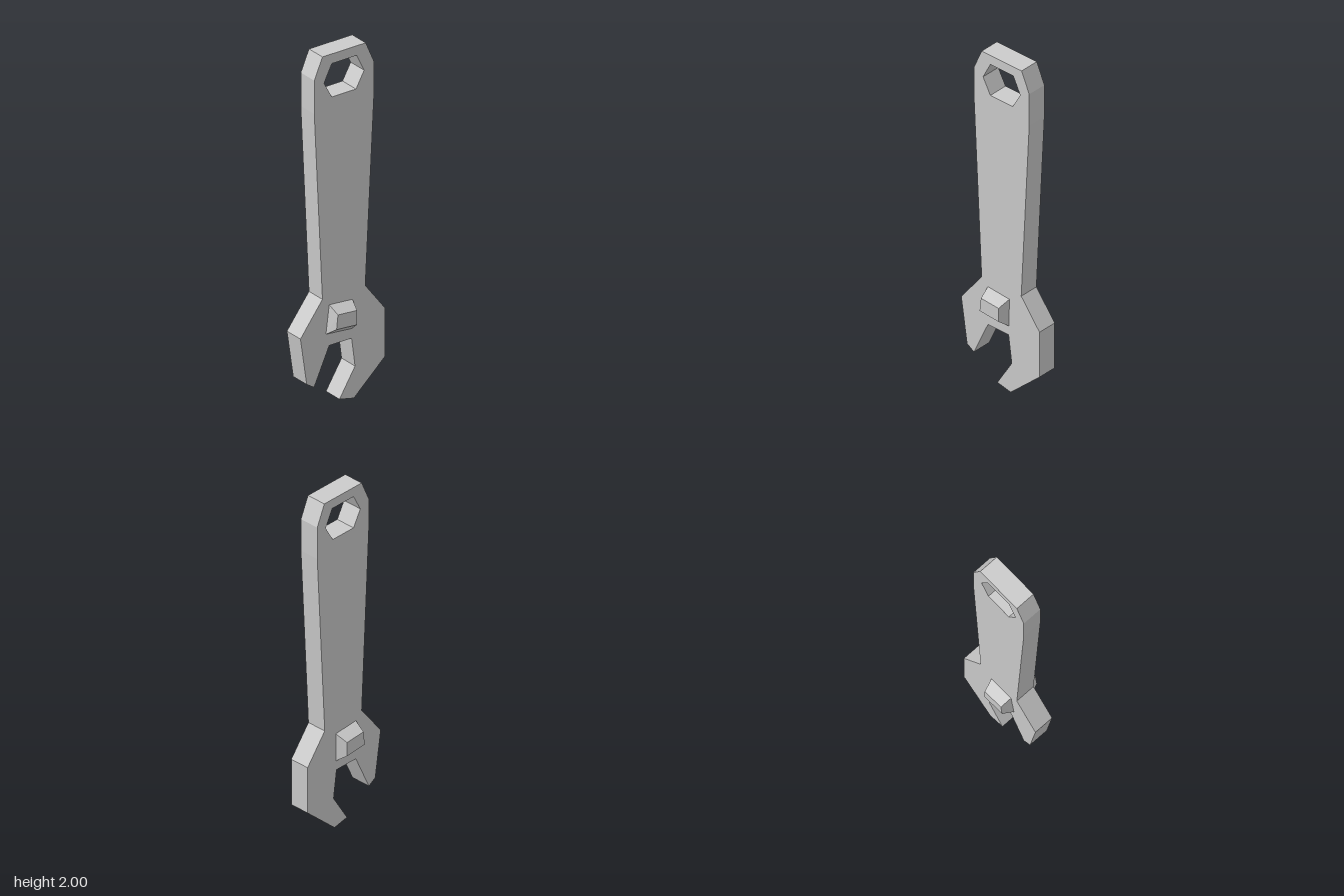
import * as THREE from 'three';
import { ConvexGeometry } from 'three/addons/geometries/ConvexGeometry.js';

const toPoints = (list) => list.map(([x, y]) => new THREE.Vector2(x, y));

export function createModel() {
  const group = new THREE.Group();
  const material = new THREE.MeshStandardMaterial({ color: 0xcccccc, flatShading: true });
  const half = 0.058;

  // Flat spanner: tapered handle, angled open jaw and a six-sided hanging hole
  const outline = new THREE.Shape(toPoints([
    [-0.13, 2], [-0.182, 1.88], [-0.182, 1.69], [-0.13, 0.62],            // handle, right edge
    [-0.27, 0.435], [-0.23, 0.165], [-0.183, 0.135],                      // short jaw
    [-0.087, 0.345], [0.055, 0.345], [0.077, 0.18],                       // jaw opening
    [-0.022, 0.02], [0.07, 0], [0.268, 0.18], [0.268, 0.455],             // long jaw
    [0.142, 0.62], [0.197, 1.69], [0.197, 1.88], [0.145, 2],              // handle, left edge
  ]));
  outline.holes.push(new THREE.Path(toPoints([
    [-0.07, 1.945], [0.087, 1.945], [0.135, 1.847], [0.083, 1.755], [-0.07, 1.755], [-0.12, 1.847],
  ])));
  const bodyGeometry = new THREE.ExtrudeGeometry(outline, { depth: 2 * half, bevelEnabled: false });
  bodyGeometry.translate(0, 0, -half);
  const body = new THREE.Mesh(bodyGeometry, material);
  body.name = 'spannerBody';
  group.add(body);

  // Adjuster knob: skewed block through the head, tapering on both faces
  const base = [[-0.087, 0.577], [0.061, 0.565], [0.058, 0.4], [-0.108, 0.415]];
  const cap = [[-0.078, 0.541], [0.043, 0.532], [0.043, 0.45], [-0.087, 0.46]];
  const corners = [];
  for (const side of [-1, 1]) {
    for (const [x, y] of base) corners.push(new THREE.Vector3(x, y, side * half));
    for (const [x, y] of cap) corners.push(new THREE.Vector3(x, y, side * 0.121));
  }
  const knob = new THREE.Mesh(new ConvexGeometry(corners), material);
  knob.name = 'adjusterKnob';
  group.add(knob);

  return group;
}
